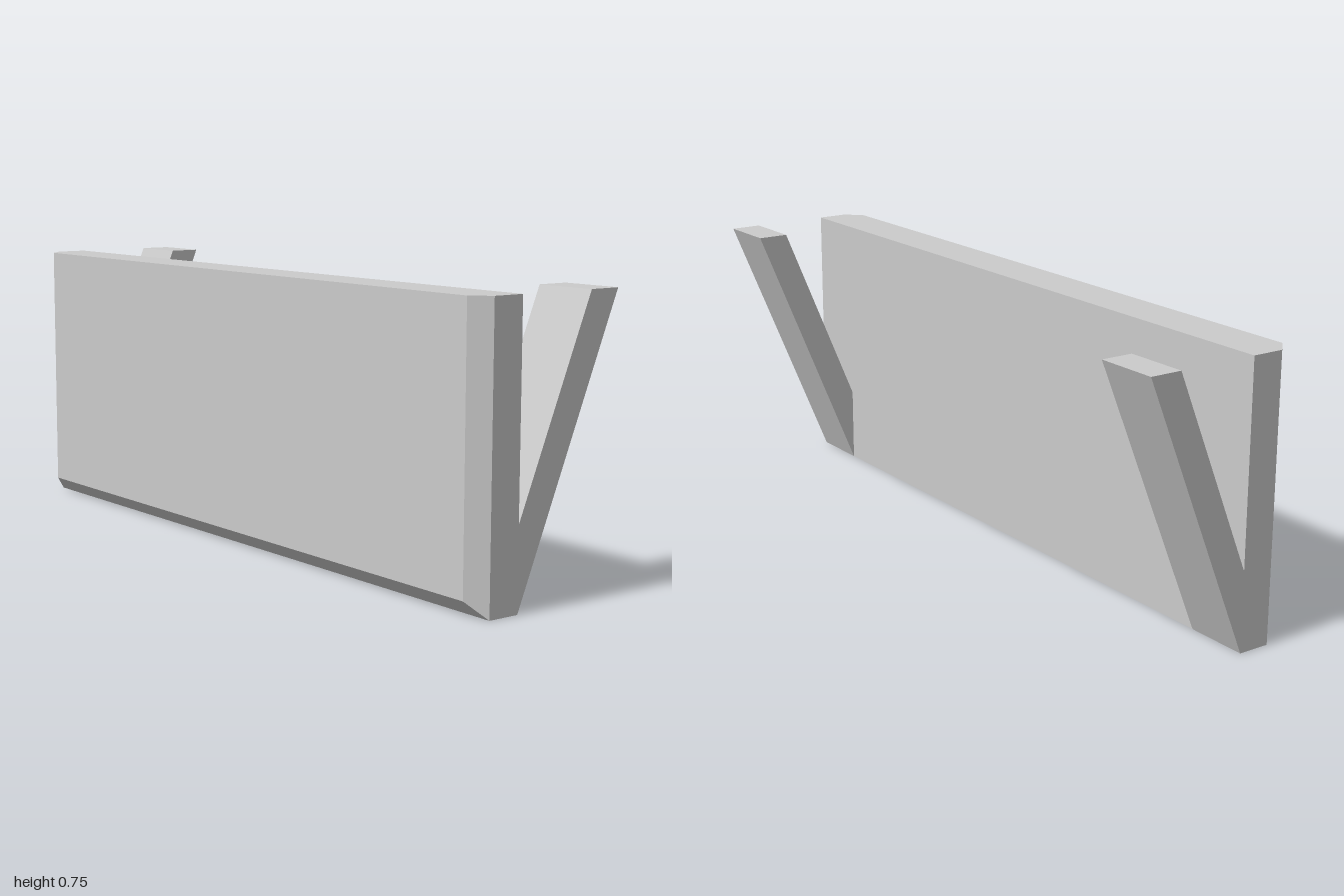
import * as THREE from 'three';

const HEIGHT = 0.755, BACK = 0.09, FRONT = 0.222, CHAMFER = 0.044, LEG_WIDTH = 0.175;

// Upright board whose front edges are chamfered at the bottom and both sides
function panelGeometry() {
  const box = new THREE.BoxGeometry(2, HEIGHT, 2, 1, 1, 2);
  const p = box.attributes.position;
  for (let i = 0; i < p.count; i++) {
    const row = Math.round(p.getZ(i)); // -1 back, 0 chamfer start, 1 front
    const inset = row === 1 ? CHAMFER : 0;
    p.setXYZ(
      i,
      Math.sign(p.getX(i)) * (1 - inset),
      p.getY(i) > 0 ? HEIGHT : inset,
      [BACK, FRONT - CHAMFER, FRONT][row + 1]
    );
  }
  const geometry = box.toNonIndexed();
  geometry.computeVertexNormals();
  return geometry;
}

// Slanted prop: side profile in (z, y), extruded across the width
function legGeometry() {
  const profile = new THREE.Shape([
    new THREE.Vector2(BACK, 0),
    new THREE.Vector2(BACK, 0.216),
    new THREE.Vector2(-0.133, HEIGHT),
    new THREE.Vector2(-0.222, HEIGHT),
  ]);
  return new THREE.ExtrudeGeometry(profile, { depth: LEG_WIDTH, bevelEnabled: false })
    .rotateY(-Math.PI / 2)
    .translate(LEG_WIDTH / 2, 0, 0);
}

export function createModel() {
  const group = new THREE.Group();
  group.name = 'proppedPanel';
  const material = new THREE.MeshStandardMaterial({ color: 0xcccccc, flatShading: true });

  const panel = new THREE.Mesh(panelGeometry(), material);
  panel.name = 'frontPanel';
  group.add(panel);

  // One prop flush with each end of the panel
  const leg = legGeometry();
  for (const [name, side] of [['leftLeg', 1], ['rightLeg', -1]]) {
    const mesh = new THREE.Mesh(leg, material);
    mesh.name = name;
    mesh.position.x = side * (1 - LEG_WIDTH / 2);
    group.add(mesh);
  }
  return group;
}
